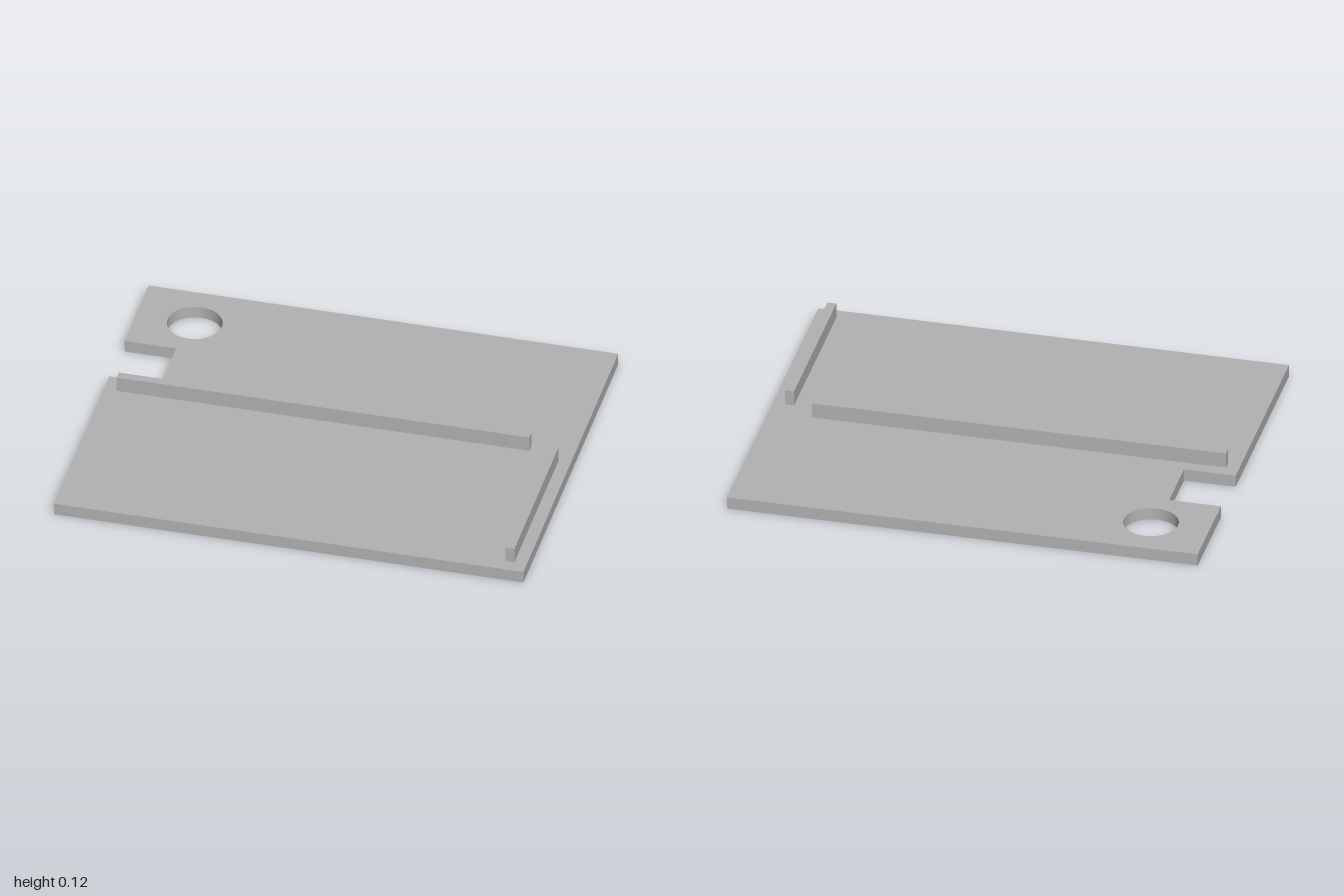
import * as THREE from 'three';

const PLATE_H = 0.053, TOP = 0.12, HALF_Z = 0.803;

export function createModel() {
  const group = new THREE.Group();
  const grey = new THREE.MeshStandardMaterial({ color: 0xb2b2b2 });
  grey.name = 'grey';

  // Base plate outline drawn as (x, -z), with an edge notch and a round hole
  const outline = new THREE.Shape([
    [-1, -HALF_Z], [1, -HALF_Z], [1, HALF_Z], [-1, HALF_Z],
    [-1, 0.395], [-0.78, 0.395], [-0.78, 0.135], [-1, 0.135],
  ].map(([x, y]) => new THREE.Vector2(x, y)));
  const hole = new THREE.Path();
  hole.absarc(-0.75, 0.59, 0.115, 0, Math.PI * 2, true);
  outline.holes.push(hole);
  const plateGeometry = new THREE.ExtrudeGeometry(outline, {
    depth: PLATE_H, bevelEnabled: false, curveSegments: 64,
  });
  plateGeometry.rotateX(-Math.PI / 2);
  const plate = new THREE.Mesh(plateGeometry, grey);
  plate.name = 'basePlate';
  group.add(plate);

  // Upright ribs standing on the plate
  const addRib = (name, x0, x1, z0, z1) => {
    const height = TOP - PLATE_H;
    const rib = new THREE.Mesh(new THREE.BoxGeometry(x1 - x0, height, z1 - z0), grey);
    rib.position.set((x0 + x1) / 2, PLATE_H + height / 2, (z0 + z1) / 2);
    rib.name = name;
    group.add(rib);
  };
  addRib('longRib', -0.945, 0.813, -0.079, -0.042);
  addRib('sideRib', 0.909, 0.947, 0, 0.745);

  return group;
}
